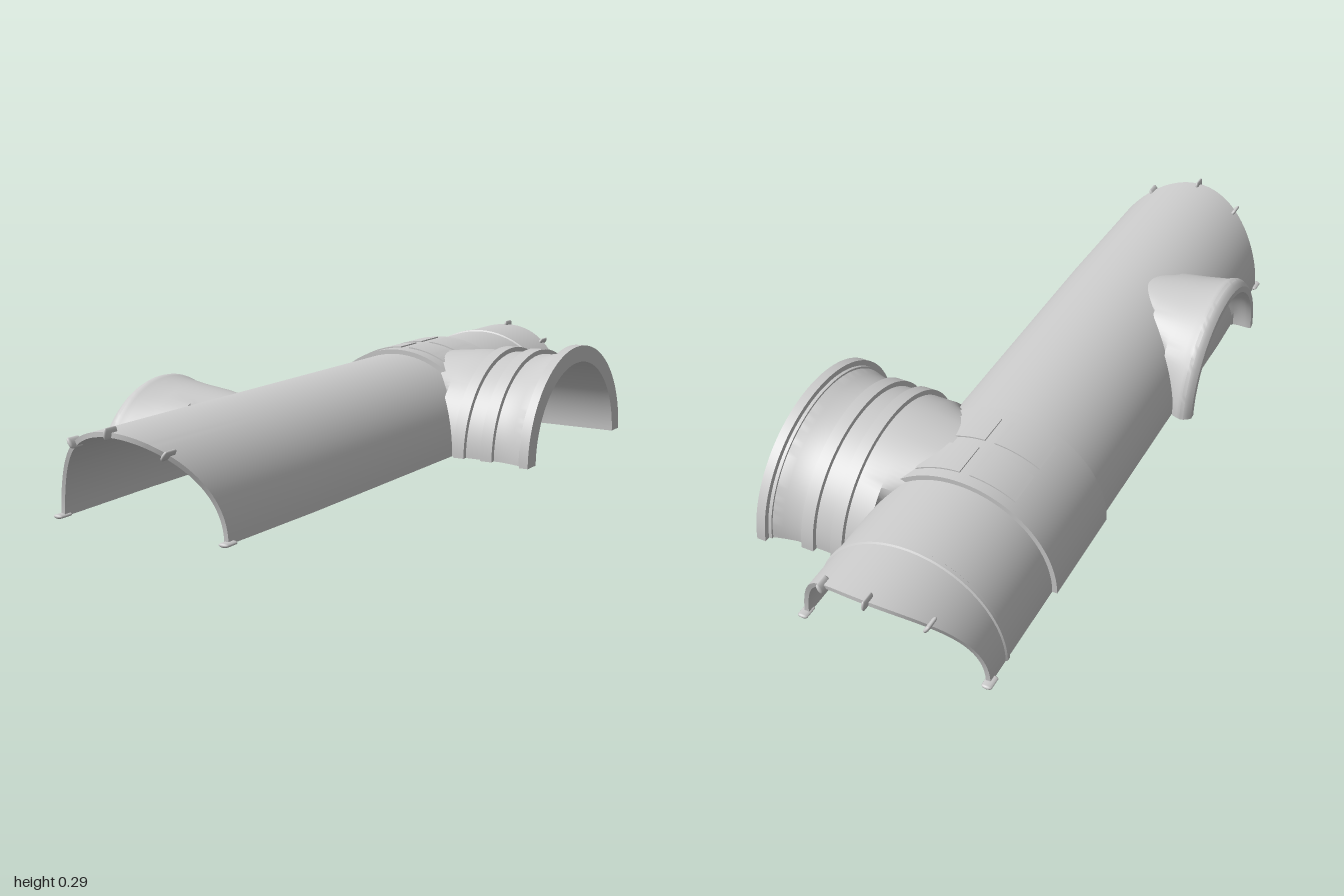
import * as THREE from 'three';
import { toCreasedNormals } from 'three/addons/utils/BufferGeometryUtils.js';

const material = new THREE.MeshStandardMaterial({ color: 0xcccccc });
const AXIS_X = -0.095, R = 0.248, BASE = 0.004;

// Arched wall: rows are [station, outer radius, inner radius], place maps (station, radius, angle) to a point
function archShell(name, rows, place, t0 = 0, t1 = Math.PI, steps = 64) {
  const pos = [];
  const quad = (a, b, c, d) => {
    for (const p of [a, b, c, a, c, d]) pos.push(p.x, p.y, p.z);
  };
  const grid = (k) => rows.map((row) => Array.from({ length: steps + 1 },
    (_, j) => place(row[0], row[k], t0 + (t1 - t0) * j / steps)));
  const O = grid(1), I = grid(2), n = rows.length - 1;
  for (let i = 0; i < n; i++) {
    for (let j = 0; j < steps; j++) {
      quad(O[i][j], O[i][j + 1], O[i + 1][j + 1], O[i + 1][j]);
      quad(I[i][j], I[i + 1][j], I[i + 1][j + 1], I[i][j + 1]);
    }
    // long edges
    quad(O[i][0], O[i + 1][0], I[i + 1][0], I[i][0]);
    quad(O[i][steps], I[i][steps], I[i + 1][steps], O[i + 1][steps]);
  }
  // end rims
  for (let j = 0; j < steps; j++) {
    quad(O[0][j], I[0][j], I[0][j + 1], O[0][j + 1]);
    quad(O[n][j], O[n][j + 1], I[n][j + 1], I[n][j]);
  }
  const g = new THREE.BufferGeometry();
  g.setAttribute('position', new THREE.Float32BufferAttribute(pos, 3));
  const mesh = new THREE.Mesh(toCreasedNormals(g, 0.5), material);
  mesh.name = name;
  return mesh;
}

// Scalloped pipe ends: the crown reaches further than the feet
const endZ = (t) => 0.88 + 0.1 * Math.pow(Math.max(0, Math.sin(t)), 2.2);

const alongZ = (s, r, t) => new THREE.Vector3(
  AXIS_X + r * Math.cos(t) * (s === 1 ? 0.965 : 1),
  BASE + r * Math.sin(t) * 0.975,
  Math.abs(s) === 1 ? s * endZ(t) : s);

// Side branch whose inner end follows the curved skin of the main pipe
const sideways = (dir, zc, zScale) => (s, r, t) => {
  const y = Math.max(0, r * Math.sin(t));
  const skin = Math.sqrt(Math.max(0, R * R - (y / 0.975) ** 2));
  const x = Math.max(s, skin + dir * AXIS_X);
  return new THREE.Vector3(dir * x, BASE + y, zc - dir * r * zScale * Math.cos(t));
};

export function createModel() {
  const model = new THREE.Group();
  model.name = 'pipeJunction';

  // Main half pipe
  model.add(archShell('mainPipe',
    [-1, -0.8, -0.4, 0, 0.55, 1].map((s) => [s, R, R - 0.012]), alongZ));
  // Thin ridge near the back end
  model.add(archShell('backRidge',
    [[-0.806, 0.247, 0.243], [-0.802, 0.252, 0.243], [-0.792, 0.252, 0.243], [-0.788, 0.247, 0.243]], alongZ));

  // Sleeve with raised panels
  model.add(archShell('sleeve', [[-0.56, 0.261, 0.244], [-0.27, 0.261, 0.244]], alongZ));
  for (const [z0, z1] of [[-0.53, -0.43], [-0.40, -0.31]]) {
    for (const [a, b] of [[1.03, 1.52], [1.62, 2.11]]) {
      model.add(archShell('sleevePanel', [[z0, 0.2645, 0.258], [z1, 0.2645, 0.258]], alongZ, a, b, 10));
    }
  }

  // Large socket on the left with two ribs and a rim flange
  const socket = [
    [-0.02, 0.238, 0.226], [0.1, 0.251, 0.237], [0.163, 0.251, 0.239],
    [0.163, 0.264, 0.239], [0.195, 0.264, 0.239], [0.195, 0.251, 0.239],
    [0.245, 0.251, 0.239], [0.245, 0.264, 0.239], [0.279, 0.264, 0.239],
    [0.279, 0.251, 0.239], [0.3, 0.251, 0.239], [0.335, 0.258, 0.239],
    [0.362, 0.265, 0.239], [0.362, 0.27, 0.239], [0.371, 0.27, 0.239],
    [0.371, 0.284, 0.239], [0.396, 0.284, 0.239],
  ];
  model.add(archShell('largeSocket', socket, sideways(1, -0.41, 1.095)));

  // Flared spout on the right
  const spout = [
    [0.15, 0.233, 0.215], [0.22, 0.239, 0.218], [0.29, 0.247, 0.222], [0.345, 0.256, 0.226],
    [0.36, 0.261, 0.228], [0.37, 0.264, 0.228], [0.38, 0.262, 0.228], [0.39, 0.256, 0.228],
    [0.398, 0.247, 0.23],
  ];
  model.add(archShell('flaredSpout', spout, sideways(-1, 0.44, 0.98)));

  // Clips around both pipe ends
  const clipGeometry = new THREE.CapsuleGeometry(0.0065, 0.03, 6, 12);
  clipGeometry.rotateX(Math.PI / 2);
  clipGeometry.scale(2.1, 0.8, 1);
  for (const end of [-1, 1]) {
    for (const t of [0, 0.98, Math.PI / 2, Math.PI - 0.98, Math.PI]) {
      const clip = new THREE.Mesh(clipGeometry, material);
      clip.name = 'endClip';
      clip.position.copy(alongZ(end, R - 0.003, t));
      clip.position.y += 0.0015;
      clip.position.z -= end * 0.002;
      clip.rotation.z = t;
      model.add(clip);
    }
  }
  return model;
}
